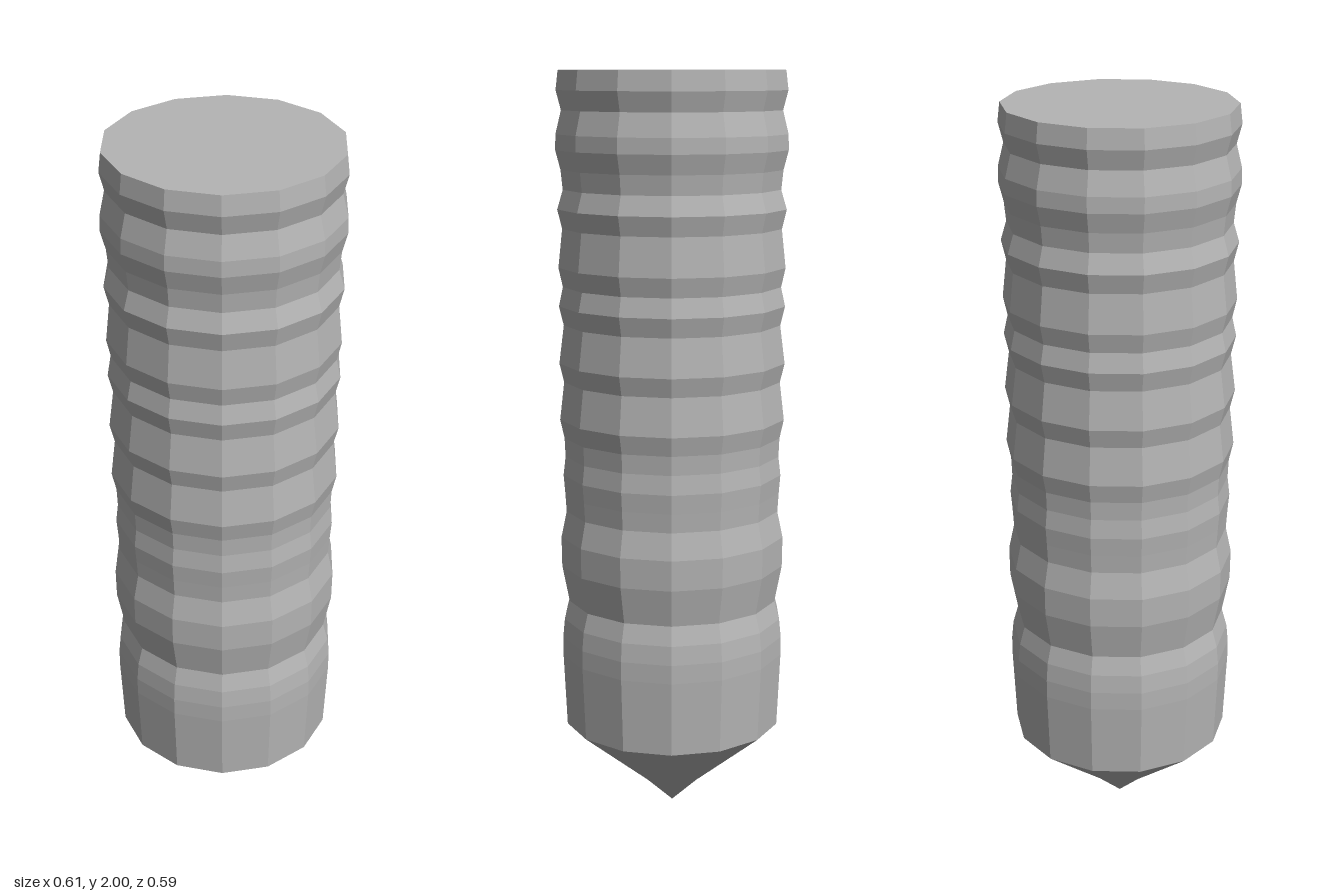
import * as THREE from 'three';

const SIDES = 14;

export function createModel() {
  const model = new THREE.Group();
  model.name = 'ribbedPost';
  const grey = new THREE.MeshStandardMaterial({ color: 0xb4b4b4, flatShading: true });
  grey.name = 'stoneGrey';

  // Revolve a [radius, height] profile, listed bottom to top, with a corner on the x axis
  function turned(name, profile) {
    const points = profile.map(([r, y]) => new THREE.Vector2(r, y));
    const mesh = new THREE.Mesh(new THREE.LatheGeometry(points, SIDES, Math.PI / 2), grey);
    mesh.name = name;
    model.add(mesh);
  }

  // Pointed foot
  turned('tip', [[0, 0], [0.086, 0.08], [0.293, 0.25]]);

  // Long rippled shaft
  turned('shaft', [
    [0.293, 0.25], [0.302, 0.45], [0.302, 0.5], [0.297, 0.55], [0.283, 0.6],
    [0.302, 0.7], [0.303, 0.78], [0.288, 0.85], [0.291, 0.9], [0.295, 0.95],
    [0.289, 1.0], [0.291, 1.05], [0.302, 1.1], [0.29, 1.2], [0.302, 1.25],
    [0.289, 1.35], [0.301, 1.4], [0.29, 1.45], [0.301, 1.5], [0.29, 1.6], [0.302, 1.65],
  ]);

  // Rippled head, closed by a flat top
  turned('head', [
    [0.302, 1.65], [0.287, 1.7], [0.292, 1.75], [0.305, 1.8], [0.304, 1.84],
    [0.289, 1.9], [0.302, 1.95], [0.296, 2], [0, 2],
  ]);

  return model;
}
